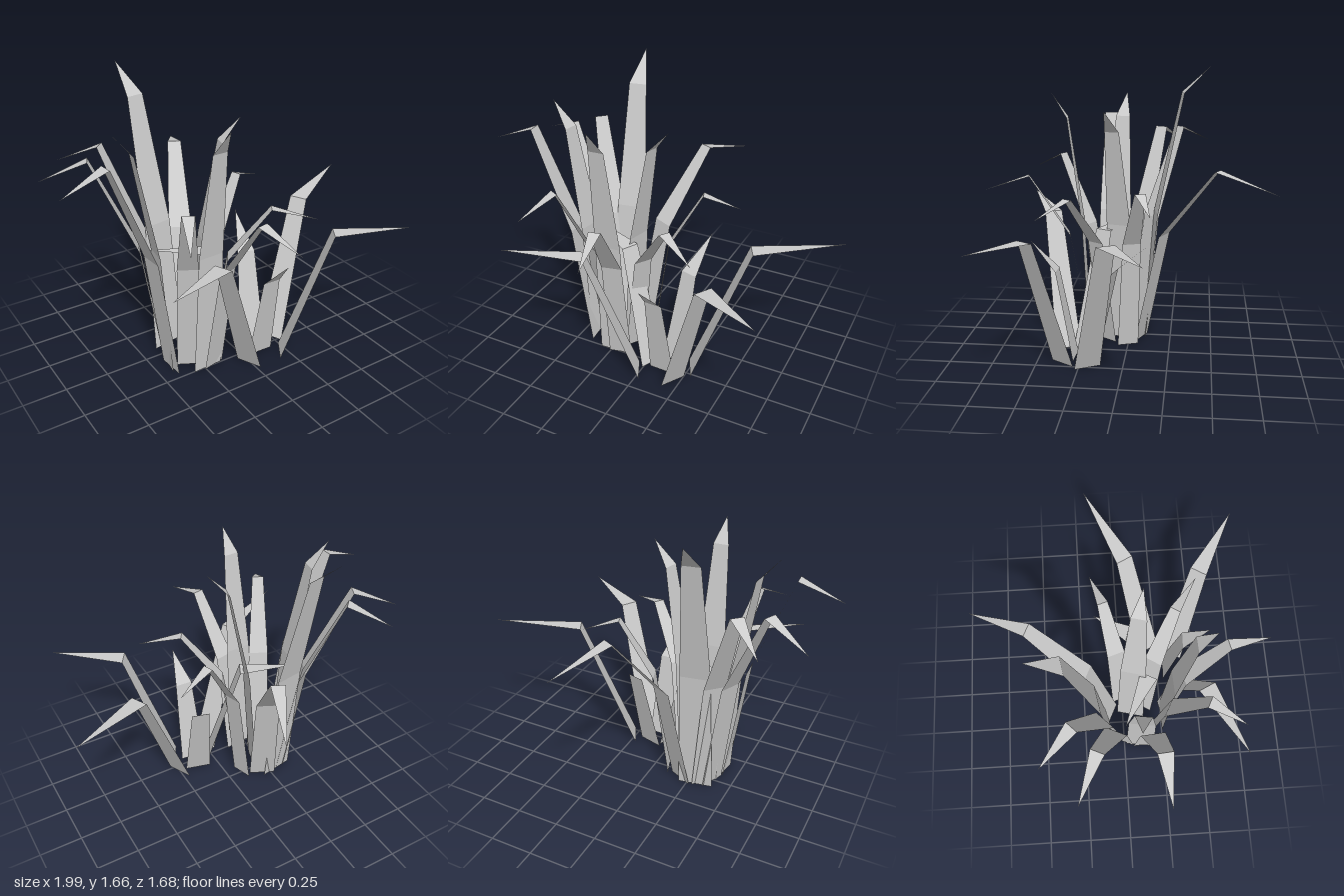
import * as THREE from 'three';

// Each blade: root x, root z, fold height, tip x, tip y, tip z
const tallBlades = [
  [-0.2, -0.07, 1.1, 0.17, 1, -0.84],
  [-0.3, -0.08, 1.5, -0.37, 1.66, -0.47],
  [-0.34, -0.04, 1.27, -0.76, 1.16, -0.46],
  [-0.38, -0.01, 1.25, -0.95, 1.14, -0.27],
  [-0.41, 0.14, 1.33, -1, 1.23, 0.19],
  [-0.41, 0.1, 1.33, -0.68, 1.47, 0.06],
  [-0.31, 0.17, 1.11, -0.56, 1, 0.64],
  [-0.19, 0.25, 1.03, -0.06, 0.95, 0.84],
  [-0.23, 0.25, 1.36, -0.22, 1.5, 0.46],
  [-0.2, 0.05, 1.3, 0.07, 1.43, 0.12],
  [-0.09, 0, 1, 0.39, 0.92, -0.16],
  [-0.15, 0.13, 0.95, 0.36, 0.88, 0.46],
];

const shortBlades = [
  [0.25, 0.2, 0.81, 0.99, 0.85, -0.17],
  [0.21, 0.35, 0.79, 0.81, 0.82, 0.72],
  [-0.01, 0.35, 0.78, -0.68, 0.82, 0.67],
  [0.11, 0.29, 0.53, 0.1, 0.7, 0.54],
  [0.13, 0.18, 0.55, 0.22, 0.73, -0.15],
  [0.03, 0.25, 0.7, -0.46, 0.72, 0],
];

// Flat ribbon across the blade's lean; rows of [share of reach, height, width] run up to the tip
function ribbon(root, tip, rows) {
  const lean = tip.clone().sub(root).setY(0);
  const across = new THREE.Vector3(lean.z, 0, -lean.x).normalize();
  const positions = [];
  const index = [];
  rows.forEach(([reach, height, width], i) => {
    const centre = root.clone().addScaledVector(lean, reach).setY(height);
    for (const side of [-0.5, 0.5]) {
      positions.push(...centre.clone().addScaledVector(across, side * width).toArray());
    }
    const a = i * 2;
    index.push(a, a + 1, a + 2);
    if (i < rows.length - 1) index.push(a + 1, a + 3, a + 2);
  });
  positions.push(...tip.toArray());
  const geometry = new THREE.BufferGeometry();
  geometry.setAttribute('position', new THREE.Float32BufferAttribute(positions, 3));
  geometry.setIndex(index);
  const flat = geometry.toNonIndexed();
  flat.computeVertexNormals();
  return flat;
}

// Tall blades bend once at mid height and fold again near the tip; longer ones are wider
function tallRows(root, tip, foldY) {
  const width = 0.12 * root.distanceTo(tip);
  return [
    [0, 0, width],
    [0.18, 0.42 + 0.24 * foldY, 0.86 * width],
    [0.57, foldY, 0.5 * width],
  ];
}

// Short blades rise straight to a single fold
function shortRows(root, tip, foldY) {
  return [[0, 0, 0.155], [0.39, foldY, 0.105]];
}

export function createModel() {
  const clump = new THREE.Group();
  clump.name = 'grassClump';
  const material = new THREE.MeshStandardMaterial({
    color: 0xcccccc, flatShading: true, side: THREE.DoubleSide,
  });

  const addBlades = (blades, name, makeRows) => {
    const group = new THREE.Group();
    group.name = `${name}s`;
    blades.forEach(([rootX, rootZ, foldY, ...tipPoint], i) => {
      const root = new THREE.Vector3(rootX, 0, rootZ);
      const tip = new THREE.Vector3(...tipPoint);
      const blade = new THREE.Mesh(ribbon(root, tip, makeRows(root, tip, foldY)), material);
      blade.name = `${name}${i + 1}`;
      group.add(blade);
    });
    clump.add(group);
  };

  addBlades(tallBlades, 'tallBlade', tallRows);
  addBlades(shortBlades, 'shortBlade', shortRows);
  return clump;
}
